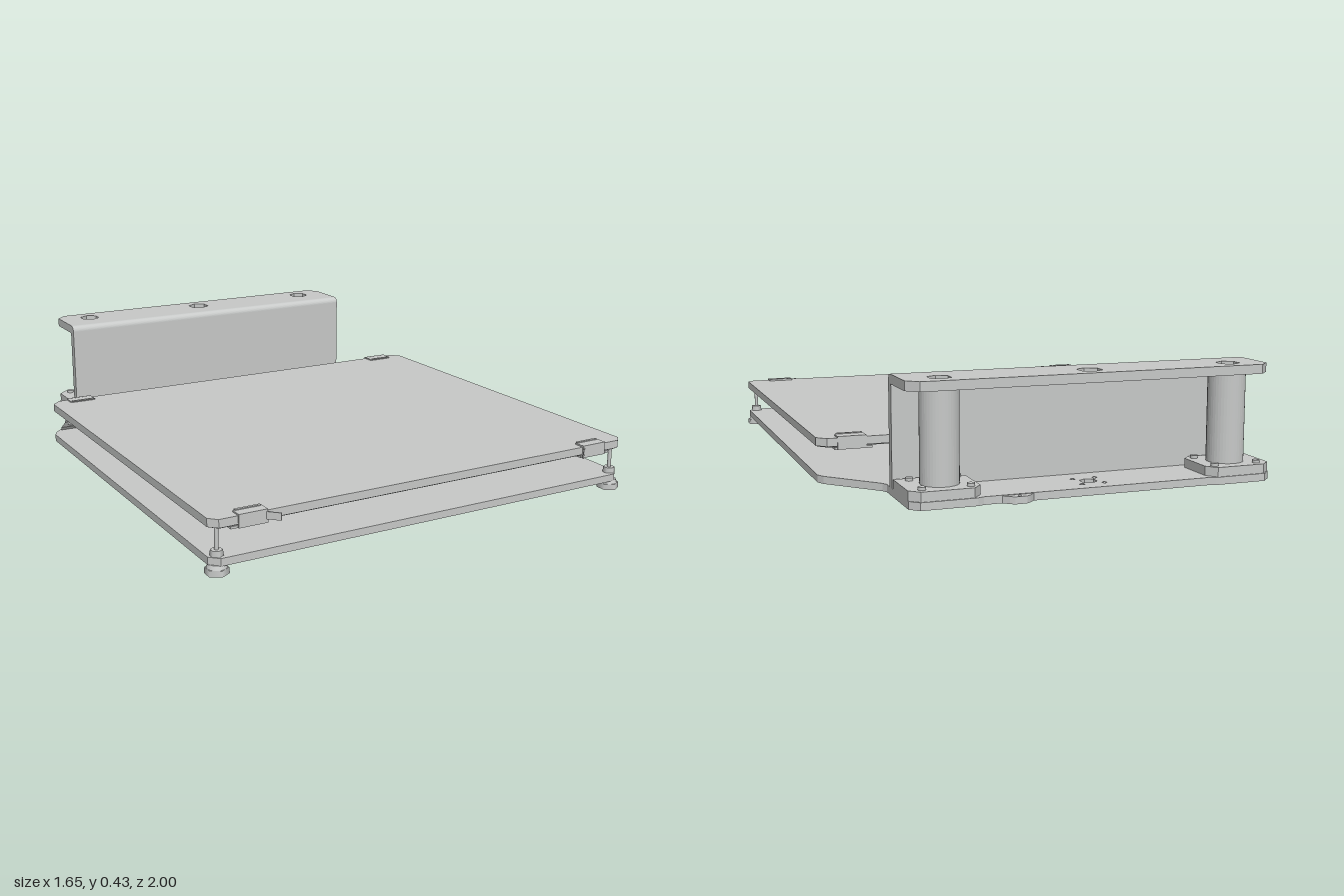
import * as THREE from 'three';

const grey = new THREE.MeshStandardMaterial({ color: 0xc8cac9 });
grey.name = 'light grey';
const dark = new THREE.MeshStandardMaterial({ color: 0x7c7e7d });
dark.name = 'dark grey';

const HOLE_X = 0.513, HOLE_Z = -0.877;

// Regular polygon in plan, as [x, z] points
function ring(x, z, r, n = 6) {
  return Array.from({ length: n }, (_, i) => {
    const a = Math.PI / 2 + (i / n) * Math.PI * 2;
    return [x + r * Math.cos(a), z + r * Math.sin(a)];
  });
}
const toVectors = (pts) => pts.map(([x, z]) => new THREE.Vector2(x, -z));

export function createModel() {
  const model = new THREE.Group();
  model.name = 'heatedBedAssembly';

  function add(name, geometry, x = 0, y = 0, z = 0, material = grey) {
    const mesh = new THREE.Mesh(geometry, material);
    mesh.name = name;
    mesh.position.set(x, y, z);
    model.add(mesh);
    return mesh;
  }
  // Flat plate from a plan outline, between two heights
  function plate(name, pts, y0, y1, holes = [], material = grey) {
    const shape = new THREE.Shape(toVectors(pts));
    holes.forEach((h) => shape.holes.push(new THREE.Path(toVectors(h))));
    const g = new THREE.ExtrudeGeometry(shape, { depth: y1 - y0, bevelEnabled: false });
    g.rotateX(-Math.PI / 2);
    return add(name, g, 0, y0, 0, material);
  }
  const box = (name, w, h, d, x, y, z, m) => add(name, new THREE.BoxGeometry(w, h, d), x, y, z, m);
  const rod = (name, r0, r1, y0, y1, x, z, n = 16) =>
    add(name, new THREE.CylinderGeometry(r1, r0, y1 - y0, n), x, (y0 + y1) / 2, z);
  // Outline mirrored across x = 0
  const mirrored = (half) => [...half, ...half.slice().reverse().map(([x, z]) => [-x, z])];

  // Base plate with tapered shoulders and through holes
  const centreDots = [[-0.04, -0.04], [0.04, -0.04], [-0.04, 0.04], [0.04, 0.04]]
    .map(([x, z]) => ring(x, HOLE_Z + z, 0.009, 8));
  const hexes = [-HOLE_X, HOLE_X].map((x) => ring(x, HOLE_Z, 0.038));
  plate('basePlate', mirrored([
    [0.79, 0.962], [0.82, 0.932], [0.82, -0.48], [0.805, -0.51], [0.648, -0.68],
    [0.638, -0.7], [0.638, -0.95], [0.608, -0.98], [0.42, -0.98], [0.4, -0.972],
  ]), 0.032, 0.058, [...hexes, ring(0, HOLE_Z, 0.03), ...centreDots]);
  plate('rearTab', [[0.23, -0.97], [0.25, -0.99], [0.265, -1], [0.305, -1], [0.32, -0.99], [0.34, -0.97]],
    0.032, 0.056, [ring(0.285, -0.987, 0.006, 8)]);

  // Bed plate and its dark underside
  plate('bedPlate', mirrored([
    [0.795, 0.962], [0.822, 0.935], [0.822, -0.475], [0.79, -0.508],
  ]), 0.157, 0.185);
  plate('bedUnderside', mirrored([
    [0.79, 0.955], [0.815, 0.93], [0.815, -0.47], [0.785, -0.5],
  ]), 0.153, 0.157, [], dark);

  // Upright wall with a rounded bend at the top, drawn as (-z, y)
  const bend = new THREE.Shape();
  bend.moveTo(0.733, 0.058);
  bend.lineTo(0.764, 0.058);
  bend.lineTo(0.764, 0.396);
  bend.lineTo(0.78, 0.396);
  bend.lineTo(0.78, 0.428);
  bend.lineTo(0.755, 0.428);
  bend.absarc(0.755, 0.406, 0.022, Math.PI / 2, Math.PI, false);
  bend.closePath();
  const wall = new THREE.ExtrudeGeometry(bend, { depth: 1.276, bevelEnabled: false, curveSegments: 6 });
  wall.rotateY(Math.PI / 2);
  add('rearWall', wall, -0.638, 0, 0);

  // Top flange with hexagonal holes
  plate('topFlange', mirrored([[0.638, -0.78], [0.638, -0.92], [0.6, -0.958]]), 0.396, 0.428,
    [...[-HOLE_X, HOLE_X].map((x) => ring(x, HOLE_Z, 0.04)), ring(0, HOLE_Z, 0.043)]);

  for (const s of [-1, 1]) {
    // Hollow support post on a mounting block
    const x = s * HOLE_X;
    plate('postBlock', [
      [s * 0.638, -0.775], [s * 0.638, -0.945], [s * 0.605, -0.976], [s * 0.43, -0.976],
      [s * 0.4, -0.94], [s * 0.4, -0.8], [s * 0.425, -0.775],
    ], 0.058, 0.09, [ring(x, HOLE_Z, 0.038)]);
    plate('supportPost', ring(x, -0.873, 0.064, 40), 0.09, 0.396, [ring(x, HOLE_Z, 0.038)]);
    for (const dx of [-0.08, 0.08]) {
      for (const dz of [-0.07, 0.07]) rod('blockScrew', 0.013, 0.013, 0.09, 0.1, x + dx, -0.875 + dz);
    }

    // Front bed clips with a slanted finger tab
    box('frontClipTop', 0.1, 0.006, 0.04, s * 0.68, 0.187, 0.945);
    box('frontClipFace', 0.1, 0.045, 0.006, s * 0.68, 0.168, 0.964);
    box('frontClipLip', 0.13, 0.008, 0.05, s * 0.69, 0.149, 0.935);
    box('frontClipRib', 0.09, 0.004, 0.01, s * 0.68, 0.191, 0.925);
    const tab = box('frontClipTab', 0.055, 0.025, 0.004, s * 0.62, 0.17, 0.98);
    tab.rotation.y = s * Math.PI / 4;

    // Rear bed clips
    box('rearClipTop', 0.1, 0.006, 0.045, s * 0.705, 0.187, -0.485);
    box('rearClipFace', 0.1, 0.045, 0.006, s * 0.705, 0.168, -0.509);
    box('rearClipLip', 0.13, 0.008, 0.06, s * 0.7, 0.149, -0.48);
    box('rearClipRib', 0.09, 0.004, 0.01, s * 0.705, 0.191, -0.46);
  }

  // Three levelling feet, each with nut and threaded rod
  for (const [x, z] of [[-0.79, 0.932], [0.79, 0.932], [0, -0.465]]) {
    rod('footPad', 0.04, 0.038, 0, 0.02, x, z, 6);
    rod('footCollar', 0.033, 0.027, 0.02, 0.034, x, z, 12);
    rod('levellingNut', 0.022, 0.02, 0.058, 0.078, x, z, 6);
    rod('levellingRod', 0.007, 0.007, 0.058, 0.157, x, z, 12);
  }

  // Wire connectors under the rear edge of the bed
  for (const [x, w] of [[-0.22, 0.025], [-0.17, 0.028], [-0.122, 0.018], [-0.085, 0.018]]) {
    box('bedConnector', w, 0.024, 0.05, x, w > 0.02 ? 0.143 : 0.147, -0.46);
  }

  // Arched cable clamp strip: profile along z, sheared to follow the shoulder
  const top = [[-0.08, 0], [-0.045, 0.008], [-0.028, 0.045], [-0.015, 0.062], [0, 0.068],
    [0.015, 0.062], [0.028, 0.045], [0.045, 0.008], [0.08, 0]];
  const under = [[0.08, -0.01], [0.04, -0.01], [0.03, 0.02], [0.015, 0.046], [0, 0.053],
    [-0.015, 0.046], [-0.03, 0.02], [-0.04, -0.01], [-0.08, -0.01]];
  const strip = new THREE.Shape([...top, ...under].map(([u, v]) => new THREE.Vector2(u, v + 0.01)));
  const clamp = new THREE.ExtrudeGeometry(strip, { depth: 0.07, bevelEnabled: false });
  clamp.translate(0, 0, -0.035);
  clamp.rotateY(-Math.PI / 2);
  const p = clamp.attributes.position;
  for (let i = 0; i < p.count; i++) p.setX(i, p.getX(i) - 0.8 * p.getZ(i));
  clamp.computeVertexNormals();
  add('cableClamp', clamp, -0.68, 0.058, -0.607, dark);
  for (const k of [-1, 1]) rod('clampScrew', 0.014, 0.014, 0.06, 0.073, -0.68 - k * 0.05, -0.607 + k * 0.062, 12);

  return model;
}
